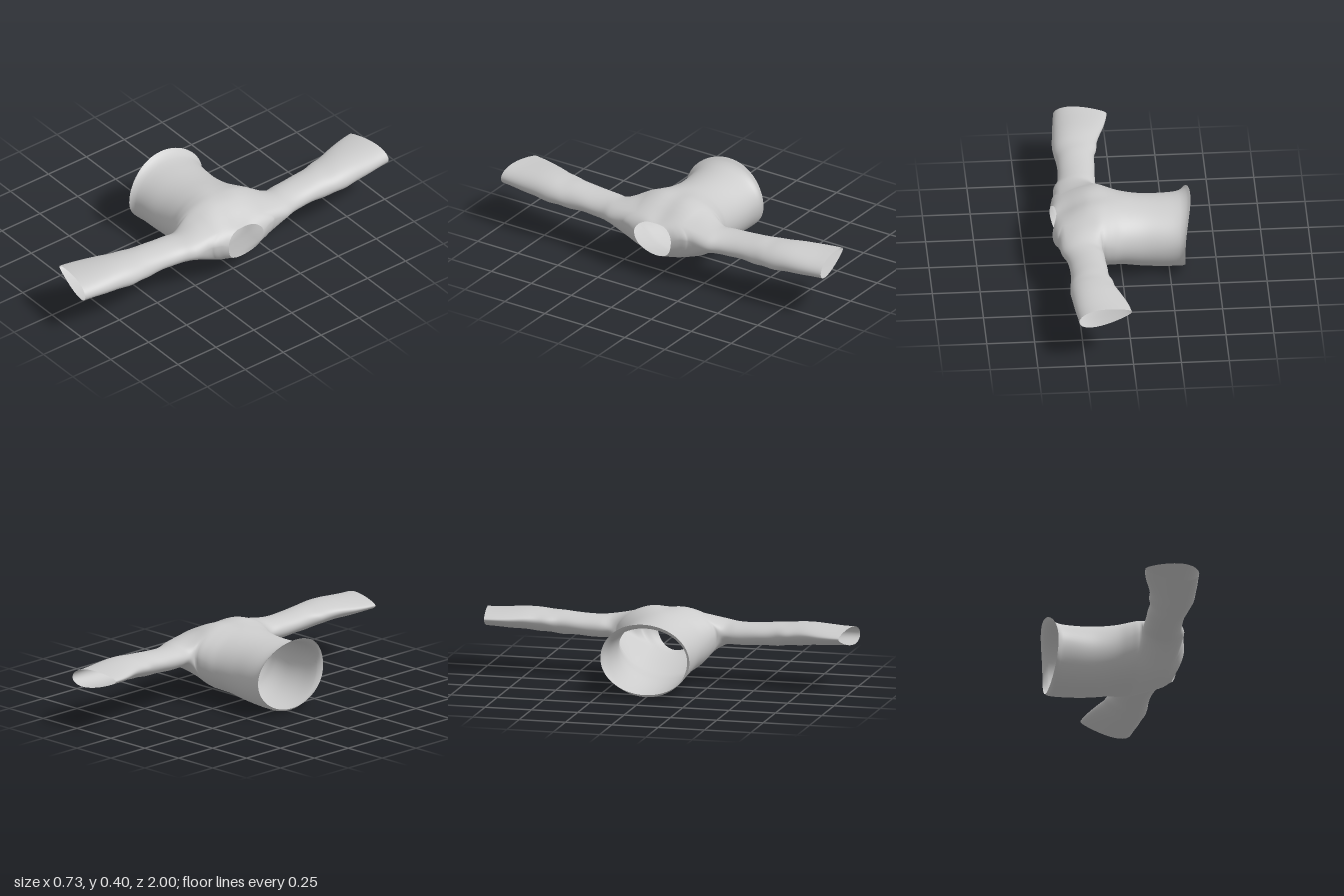
import * as THREE from 'three';

// Torso rings from hem to neck: x at top, side, bottom; y at top, side, bottom; half width
const RINGS = [
  [-0.365, -0.325, -0.335, 0.402, 0.2, 0.02, 0.24],
  [-0.345, -0.315, -0.32, 0.384, 0.2, 0.008, 0.23],
  [-0.31, -0.295, -0.295, 0.37, 0.2, 0.002, 0.22],
  [-0.2, -0.2, -0.2, 0.366, 0.19, 0.003, 0.212],
  [-0.1, -0.1, -0.1, 0.372, 0.19, 0.012, 0.21],
  [0, 0, 0, 0.385, 0.21, 0.03, 0.224],
  [0.06, 0.06, 0.05, 0.395, 0.235, 0.034, 0.248],
  [0.12, 0.11, 0.1, 0.404, 0.255, 0.04, 0.267],
  [0.17, 0.19, 0.15, 0.4, 0.262, 0.058, 0.255],
  [0.22, 0.27, 0.21, 0.382, 0.265, 0.082, 0.24],
  [0.28, 0.335, 0.27, 0.352, 0.27, 0.105, 0.21],
  [0.31, 0.352, 0.3, 0.338, 0.268, 0.116, 0.158],
  [0.335, 0.362, 0.32, 0.328, 0.25, 0.123, 0.115],
];
// Sleeve stations: z, x min, x max, y low, y high, shear, taper, cuff slant
const SLEEVE = [
  [0.3, 0.112, 0.33, 0.195, 0.325, 0, 0, 0],
  [0.36, 0.107, 0.308, 0.199, 0.32, -0.003, 0, 0],
  [0.42, 0.105, 0.298, 0.2, 0.32, -0.005, 0, 0],
  [0.5, 0.1, 0.295, 0.206, 0.324, -0.006, 0.05, 0],
  [0.58, 0.098, 0.298, 0.204, 0.331, -0.01, 0.1, 0],
  [0.64, 0.082, 0.306, 0.213, 0.333, -0.01, 0.15, 0.003],
  [0.7, 0.076, 0.309, 0.214, 0.339, -0.012, 0.2, 0.006],
  [0.77, 0.056, 0.304, 0.224, 0.341, -0.012, 0.25, 0.01],
  [0.85, 0.031, 0.297, 0.229, 0.337, -0.012, 0.3, 0.015],
  [0.92, 0.014, 0.289, 0.236, 0.333, -0.012, 0.35, 0.019],
  [0.978, 0.005, 0.283, 0.24, 0.332, -0.012, 0.4, 0.022],
];
const SUB = 5, SEG = 64;               // rows per torso ring, points around the torso
const ARM0 = 7 * SUB, ARM1 = 10 * SUB; // rows spanned by the armholes
const HALF = 8;                        // armhole half height in cells
const ROWS = (RINGS.length - 1) * SUB;

function torsoPoint([xt, xs, xb, yt, ys, yb, hw], theta) {
  const s = Math.sin(theta), c = Math.cos(theta), up = s > 0;
  const x = xs + ((up ? xt : xb) - xs) * s * s;
  const z = hw * c;
  let y = ys + (up ? yt - ys : ys - yb) * s;
  // shallow hollow between the shoulder blades
  if (up) y -= 0.012 * Math.exp(-((z / 0.06) ** 2)) * THREE.MathUtils.smoothstep(x, 0, 0.15) * s;
  return new THREE.Vector3(x, y, z);
}

function sleevePoint([z, x0, x1, y0, y1, shear, taper, slant], phi, side) {
  const c = Math.cos(phi), s = Math.sin(phi);
  return new THREE.Vector3(
    (x0 + x1) / 2 + (x1 - x0) / 2 * c,
    (y0 + y1) / 2 + shear * c + (y1 - y0) / 2 * s * (1 + taper * c),
    side * (z + slant * c));
}

function shirtGeometry() {
  const pos = [], index = [];
  const add = (p) => pos.push(p.x, p.y, p.z) / 3 - 1;
  const quad = (a, b, c, d) => index.push(a, b, c, a, c, d);
  const at = (i, j) => i * SEG + (j + SEG) % SEG;

  // torso points, smoothed along each lengthwise line
  const lines = [];
  for (let j = 0; j < SEG; j++) {
    const curve = new THREE.CatmullRomCurve3(
      RINGS.map((r) => torsoPoint(r, j / SEG * Math.PI * 2)), false, 'centripetal');
    lines.push(curve.getPoints(ROWS));
  }
  for (let i = 0; i <= ROWS; i++) for (let j = 0; j < SEG; j++) add(lines[j][i]);

  // torso faces, leaving the armholes open
  const inArm = (i, j) => i >= ARM0 && i < ARM1 &&
    [0, SEG / 2, SEG].some((m) => j >= m - HALF && j < m + HALF);
  for (let i = 0; i < ROWS; i++) for (let j = 0; j < SEG; j++) {
    if (!inArm(i, j)) quad(at(i, j), at(i + 1, j), at(i + 1, j + 1), at(i, j + 1));
  }

  // sleeves grown from the armhole edges
  for (const side of [1, -1]) {
    const mid = side > 0 ? 0 : SEG / 2;
    const loop = [];
    for (let i = ARM0; i < ARM1; i++) loop.push([i, -HALF]);
    for (let j = -HALF; j < HALF; j++) loop.push([ARM1, j]);
    for (let i = ARM1; i > ARM0; i--) loop.push([i, HALF]);
    for (let j = HALF; j > -HALF; j--) loop.push([ARM0, j]);

    const steps = SLEEVE.length * 4;
    const strands = loop.map(([i, j]) => {
      const u = (i - ARM0) / (ARM1 - ARM0) * 2 - 1;
      const phi = Math.atan2(side * j / HALF, u);
      const start = lines[(mid + j + SEG) % SEG][i];
      const pts = [start, ...SLEEVE.map((s) => sleevePoint(s, phi, side))];
      const fine = new THREE.CatmullRomCurve3(pts, false, 'centripetal').getPoints(steps);
      return [at(i, mid + j), ...fine.slice(1).map(add)];
    });
    strands.forEach((a, k) => {
      const b = strands[(k + 1) % strands.length];
      for (let s = 0; s < steps; s++) quad(a[s], b[s], b[s + 1], a[s + 1]);
    });
  }

  const g = new THREE.BufferGeometry();
  g.setAttribute('position', new THREE.Float32BufferAttribute(pos, 3));
  g.setIndex(index);
  g.computeVertexNormals();
  return g;
}

export function createModel() {
  const group = new THREE.Group();
  group.name = 'shirt';
  const cloth = new THREE.MeshStandardMaterial({ color: 0xcccccc, side: THREE.DoubleSide });
  const shirt = new THREE.Mesh(shirtGeometry(), cloth);
  shirt.name = 'torsoAndSleeves';
  group.add(shirt);
  return group;
}
